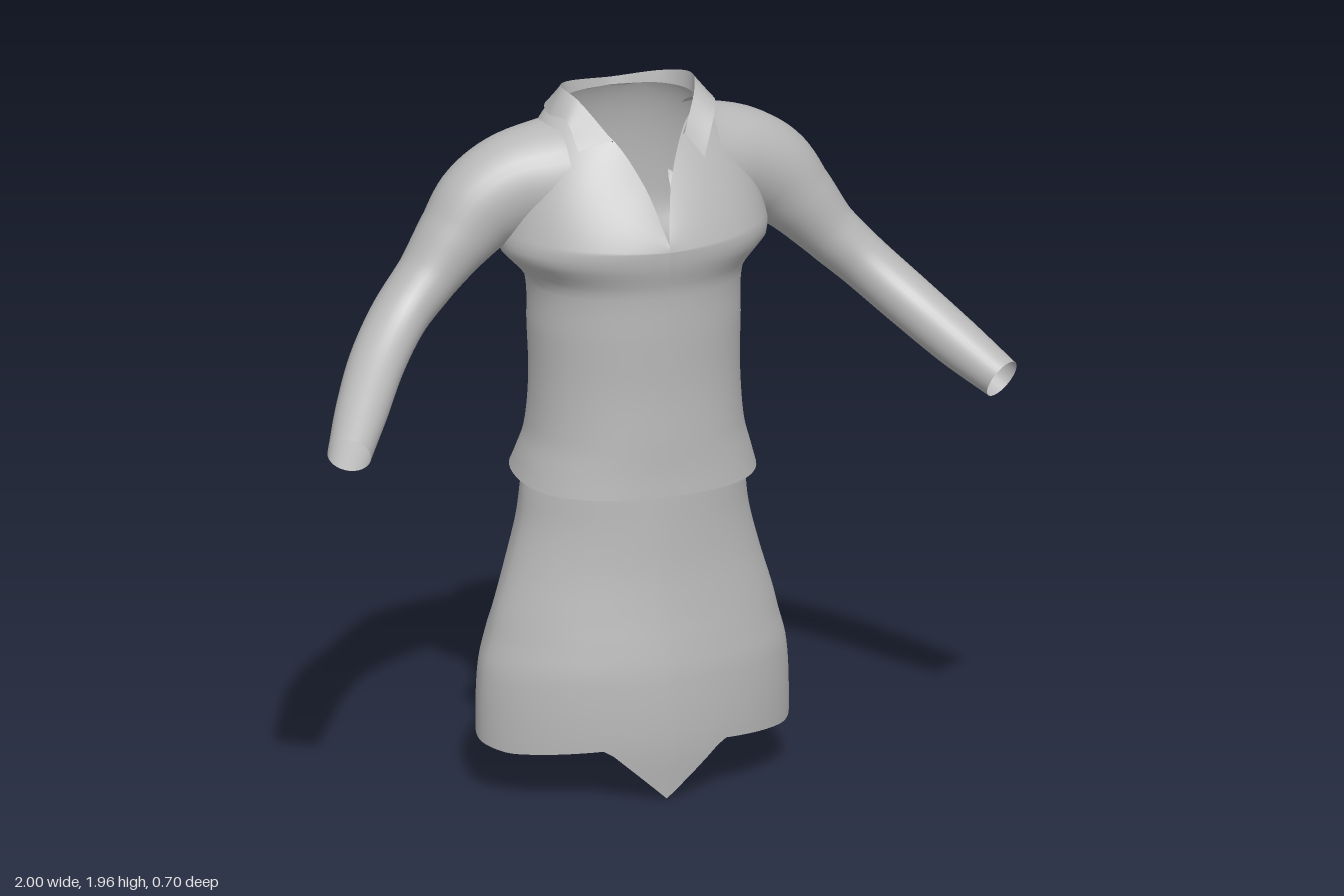
import * as THREE from 'three';

const cloth = new THREE.MeshStandardMaterial({ color: 0xb8b8b8, side: THREE.DoubleSide });
cloth.name = 'grey cloth';

// Smooth sheet from point(u, v): u runs around, v runs up
function sheet(name, cols, rows, closed, point) {
  const pos = [], idx = [], n = closed ? cols : cols + 1;
  for (let i = 0; i <= rows; i++)
    for (let j = 0; j < n; j++) pos.push(...point(j / cols, i / rows));
  for (let i = 0; i < rows; i++)
    for (let j = 0; j < cols; j++) {
      const a = i * n + j, b = i * n + (j + 1) % n;
      idx.push(a, b, a + n, b, b + n, a + n);
    }
  const g = new THREE.BufferGeometry();
  g.setAttribute('position', new THREE.Float32BufferAttribute(pos, 3));
  g.setIndex(idx);
  g.computeVertexNormals();
  const m = new THREE.Mesh(g, cloth);
  m.name = name;
  return m;
}

const lerp = THREE.MathUtils.lerp;
const spline = (pts) => new THREE.CatmullRomCurve3(pts.map((p) => new THREE.Vector3(...p)));
const spow = (s, e) => Math.sign(s) * Math.abs(s) ** e;

// Smoothly interpolate a table of rows [y, halfWidth, frontZ, backZ]
function profile(table, y) {
  const last = table.length - 1;
  let i = 0;
  while (i < last - 1 && y > table[i + 1][0]) i++;
  const h = table[i + 1][0] - table[i][0], t = (y - table[i][0]) / h;
  const slope = (j, k) => {
    const a = table[Math.max(0, j - 1)], b = table[Math.min(last, j + 1)];
    return (b[k] - a[k]) / (b[0] - a[0]);
  };
  return [1, 2, 3].map((k) =>
    (1 + 2 * t) * (1 - t) ** 2 * table[i][k] + t * (1 - t) ** 2 * h * slope(i, k)
    + t * t * (3 - 2 * t) * table[i + 1][k] + t * t * (t - 1) * h * slope(i + 1, k));
}

// Point of the body cross-section; angle 0 is the front centre
function ring(table, y, a, n) {
  const [w, f, b] = profile(table, y);
  const zc = -0.02, c = spow(Math.cos(a), 2 / n);
  return [w * spow(Math.sin(a), 2 / n), y, zc + c * (c > 0 ? f - zc : zc - b)];
}

const JACKET = [
  [0.86, 0.34, 0.24, -0.29], [0.92, 0.325, 0.236, -0.262], [1.0, 0.305, 0.234, -0.23],
  [1.15, 0.295, 0.23, -0.205], [1.3, 0.298, 0.234, -0.238], [1.44, 0.305, 0.238, -0.25],
  [1.49, 0.345, 0.25, -0.255], [1.52, 0.375, 0.257, -0.26], [1.56, 0.38, 0.26, -0.265],
];
const SKIRT = [
  [0, 0.44, 0.235, -0.35], [0.16, 0.447, 0.252, -0.354], [0.34, 0.44, 0.248, -0.36],
  [0.44, 0.415, 0.235, -0.358], [0.5, 0.4, 0.225, -0.315], [0.63, 0.36, 0.208, -0.322],
  [0.75, 0.33, 0.2, -0.305], [0.86, 0.318, 0.195, -0.27], [0.94, 0.305, 0.19, -0.245],
];

// Half of the neckline, from the front of the V to the nape
const neckline = spline([
  [0, 1.58, 0.255], [0.04, 1.73, 0.165], [0.11, 1.855, 0.075], [0.195, 1.9, -0.03],
  [0.2, 1.91, -0.11], [0.11, 1.925, -0.18], [0, 1.925, -0.2],
]);

// Follow a half curve on the left, then its mirror image on the right
function mirrored(curve, u, otherCurve = curve) {
  const p = u <= 0.5 ? curve.getPoint(u * 2) : otherCurve.getPoint(2 - u * 2);
  return [u <= 0.5 ? p.x : -p.x, p.y, p.z];
}

function jacketBody() {
  const split = 0.6, top = 1.56;
  return sheet('jacketBody', 72, 60, false, (u, v) => {
    const a = u * Math.PI * 2;
    if (v <= split) {
      // The hem lifts a little behind each hip
      const t = v / split;
      const lift = 0.08 * Math.sin(a) ** 2 * ((1 - Math.cos(a)) / 2) ** 2 * (1 - t) ** 6;
      const p = ring(JACKET, lerp(0.86, top, t), a, lerp(2.2, 1.9, t));
      return [p[0], p[1] + lift, p[2]];
    }
    // Chest, shoulders and upper back curve in to the neckline
    const t = (v - split) / (1 - split);
    const b = ring(JACKET, top, a, 1.9), n = mirrored(neckline, u);
    const f = (1 + Math.cos(a)) / 2;
    const m = [
      lerp(b[0] * 0.88, (b[0] + n[0]) / 2 + b[0] * 0.12, f * f),
      lerp(b[1], n[1], lerp(0.78, 0.6, f)),
      lerp(b[2] * 1.02, lerp(b[2], n[2], 0.4), f),
    ];
    return b.map((_, k) => (1 - t) ** 2 * b[k] + 2 * t * (1 - t) * m[k] + t * t * n[k]);
  });
}

function skirt() {
  return sheet('skirt', 96, 44, true, (u, v) => {
    const a = u * Math.PI * 2, n = 1.78;
    const x = Math.abs(0.447 * spow(Math.sin(a), 2 / n)), z = 0.25 * Math.cos(a);
    // Pointed front hem, rising gently to the back
    let hem = 0.13 + Math.max(0, 0.1 - z * (z < 0 ? 1.44 : 1)) * 0.15;
    if (z > 0) hem = x < 0.17 ? (0.15 * x) / 0.17 : Math.max(hem, 0.15 - (x - 0.17) * 0.09);
    const y = lerp(hem, 0.94, v);
    const p = ring(SKIRT, y, a, n);
    // Crease at the centre back
    if (p[2] < 0) p[2] += 0.02 * Math.exp(-((p[0] / 0.03) ** 2) - ((y - 0.56) / 0.09) ** 2);
    return p;
  });
}

function sleeve(name, side) {
  // Starts broad inside the shoulder so that it flows out of the body
  const path = spline([
    [0.2, 1.7, -0.07], [0.325, 1.69, -0.08], [0.42, 1.645, -0.08], [0.495, 1.57, -0.073],
    [0.585, 1.465, -0.06], [0.675, 1.375, -0.03], [0.77, 1.28, 0.05], [0.865, 1.185, 0.175],
    [0.95, 1.105, 0.3],
  ]);
  const tall = [0.178, 0.15, 0.133, 0.108, 0.084, 0.076, 0.074, 0.07, 0.058];
  const deep = [0.17, 0.142, 0.124, 0.108, 0.092, 0.088, 0.082, 0.074, 0.062];
  const radii = spline(tall.map((r, i) => [r, deep[i], 0]));
  const mesh = sheet(name, 32, 48, true, (u, v) => {
    const c = path.getPoint(v), T = path.getTangent(v), r = radii.getPoint(v);
    const N = new THREE.Vector3(0.6, 0.8, 0).addScaledVector(T, -(0.6 * T.x + 0.8 * T.y)).normalize();
    const B = new THREE.Vector3().crossVectors(T, N), a = u * Math.PI * 2;
    return c.addScaledVector(N, Math.cos(a) * r.x).addScaledVector(B, Math.sin(a) * r.y).toArray();
  });
  mesh.scale.x = side;
  return mesh;
}

function collar() {
  const rest = [[0.217, 1.895, 0.04], [0.235, 1.893, -0.05], [0.18, 1.888, -0.185], [0, 1.878, -0.238]];
  const leftEdge = spline([[0.147, 1.78, 0.14], ...rest]);
  const rightEdge = spline([[0.205, 1.825, 0.1], ...rest]);
  const fold = spline([
    [0.105, 1.845, 0.1], [0.17, 1.94, 0.005], [0.188, 1.957, -0.07], [0.14, 1.945, -0.15], [0, 1.93, -0.19],
  ]);
  const inner = spline([
    [0.1, 1.835, 0.09], [0.16, 1.885, 0.02], [0.187, 1.905, -0.07], [0.13, 1.91, -0.15], [0, 1.91, -0.185],
  ]);
  const g = new THREE.Group();
  g.name = 'collar';
  const strip = (name, low, lowOther) => g.add(sheet(name, 56, 4, false, (u, v) => {
    const a = mirrored(low, u, lowOther), b = mirrored(fold, u);
    return a.map((_, k) => lerp(a[k], b[k], v));
  }));
  strip('collarLeaf', leftEdge, rightEdge);
  strip('collarStand', inner, inner);
  return g;
}

export function createModel() {
  const model = new THREE.Group();
  model.name = 'jacketAndSkirt';
  model.add(jacketBody(), skirt(), collar(), sleeve('leftSleeve', 1), sleeve('rightSleeve', -1));
  return model;
}
